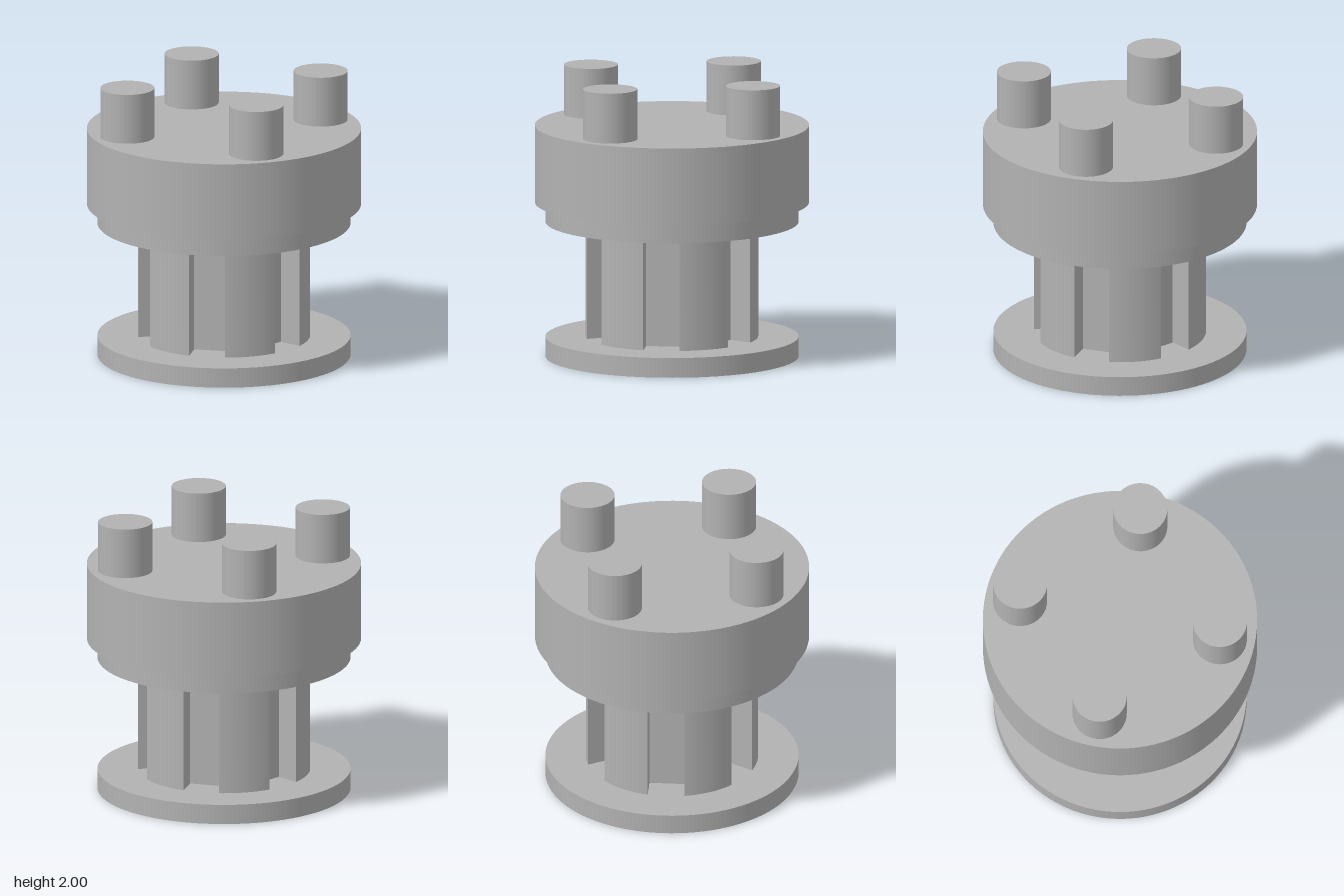
import * as THREE from 'three';
import { toCreasedNormals } from 'three/addons/utils/BufferGeometryUtils.js';

export function createModel() {
  const model = new THREE.Group();
  const grey = new THREE.MeshStandardMaterial({ color: 0xb2b2b2 });
  grey.name = 'plain grey';

  const add = (name, geometry, x = 0, y = 0, z = 0) => {
    const mesh = new THREE.Mesh(geometry, grey);
    mesh.name = name;
    mesh.position.set(x, y, z);
    model.add(mesh);
  };
  const disc = (name, radius, y0, y1, x = 0, z = 0, sides = 96) =>
    add(name, new THREE.CylinderGeometry(radius, radius, y1 - y0, sides), x, (y0 + y1) / 2, z);

  // Stacked round flanges
  disc('baseFlange', 0.888, 0, 0.14);
  disc('neckFlange', 0.888, 0.957, 1.096);
  disc('cap', 0.962, 1.096, 1.645);

  // Splined shaft: six teeth separated by straight, flat-bottomed slots
  const radius = 0.605, halfSlot = 0.129, floor = 0.418;
  const edge = Math.asin(halfSlot / radius);
  const shape = new THREE.Shape();
  for (let i = 0; i < 6; i++) {
    const a = (i * Math.PI) / 3, c = Math.cos(a), s = Math.sin(a);
    const corner = (v) => [floor * c - v * s, floor * s + v * c];
    if (i === 0) shape.moveTo(...corner(-halfSlot));
    else shape.lineTo(...corner(-halfSlot));
    shape.lineTo(...corner(halfSlot));
    shape.absarc(0, 0, radius, a + edge, a + Math.PI / 3 - edge, false);
  }
  shape.closePath();
  const shaft = new THREE.ExtrudeGeometry(shape, { depth: 0.817, bevelEnabled: false, curveSegments: 12 });
  shaft.rotateX(-Math.PI / 2);
  add('splinedShaft', toCreasedNormals(shaft, 0.5), 0, 0.14, 0);

  // Four pins around the top
  for (let i = 0; i < 4; i++) {
    const a = (i * Math.PI) / 2;
    disc('pin', 0.19, 1.645, 2, 0.715 * Math.cos(a), 0.715 * Math.sin(a), 64);
  }
  return model;
}
